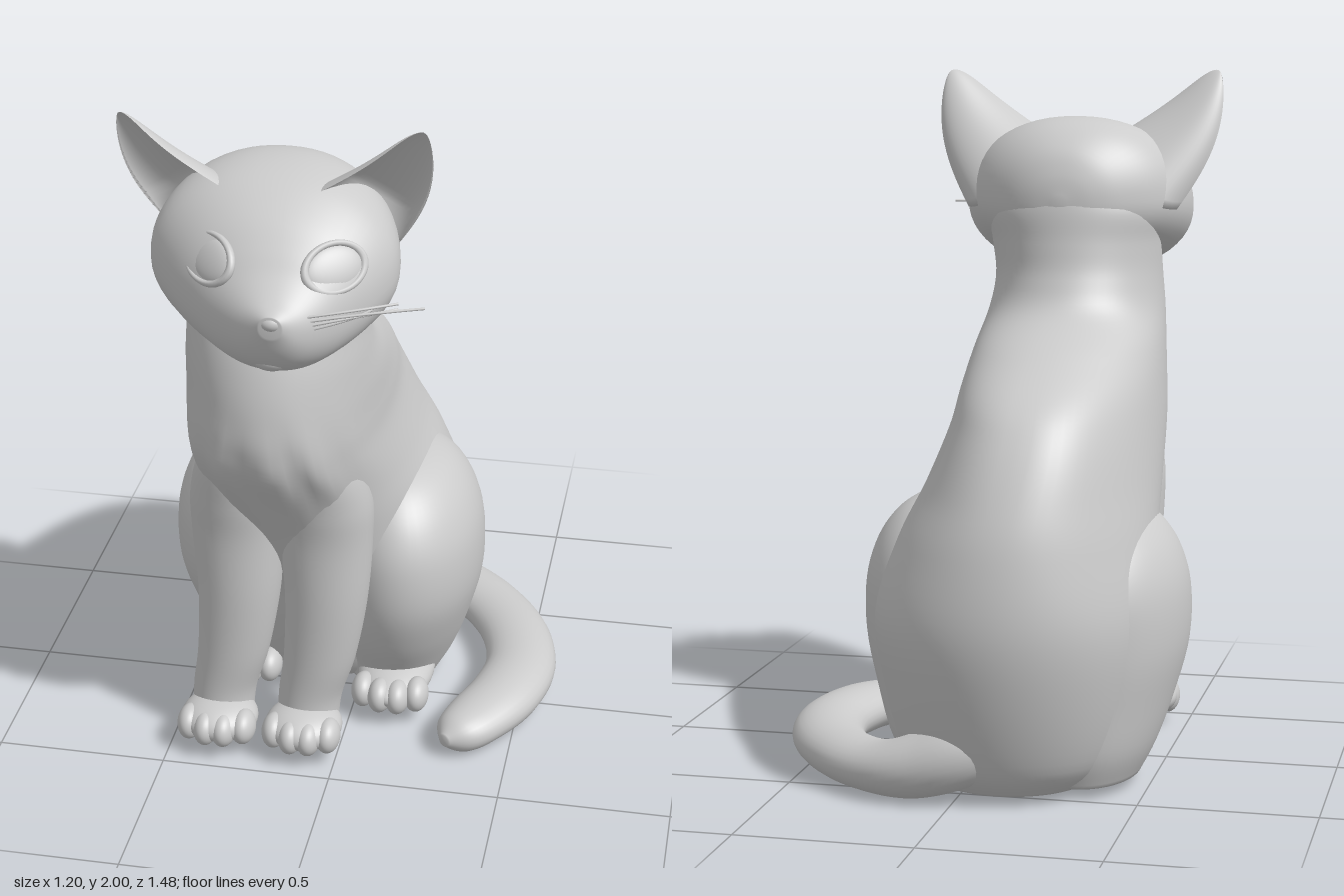
import * as THREE from 'three';

const MAT = new THREE.MeshStandardMaterial({ color: 0xcccccc, roughness: 0.8 });
const V = (x, y, z) => new THREE.Vector3(x, y, z);
const pow = (v, e) => Math.sign(v) * Math.abs(v) ** e;

// Resample rows of section values with a Catmull-Rom spline
function smoothRows(rows, n) {
  const out = [];
  for (let i = 0; i <= n; i++) {
    const f = (i / n) * (rows.length - 1), k = Math.min(Math.floor(f), rows.length - 2), t = f - k;
    const row = (j) => rows[Math.max(0, Math.min(rows.length - 1, j))];
    out.push(rows[0].map((_, c) => {
      const [a, b, d, e] = [row(k - 1)[c], row(k)[c], row(k + 1)[c], row(k + 2)[c]];
      return 0.5 * (2 * b + (d - a) * t + (2 * a - 5 * b + 4 * d - e) * t * t + (3 * b - a - 3 * d + e) * t ** 3);
    }));
  }
  return out;
}

// Skin a list of closed rings, cap both ends and face the surface outwards
function loft(rings) {
  const n = rings[0].length, pts = rings.flat(), idx = [];
  for (let i = 0; i < rings.length - 1; i++) {
    for (let j = 0; j < n; j++) {
      const a = i * n + j, b = i * n + (j + 1) % n;
      idx.push(a, b, a + n, b, b + n, a + n);
    }
  }
  [0, rings.length - 1].forEach((r) => {
    const centre = V(0, 0, 0);
    rings[r].forEach((p) => centre.addScaledVector(p, 1 / n));
    pts.push(centre);
    for (let j = 0; j < n; j++) {
      const a = r * n + j, b = r * n + (j + 1) % n;
      idx.push(...(r ? [a, b, pts.length - 1] : [b, a, pts.length - 1]));
    }
  });
  let volume = 0;
  for (let i = 0; i < idx.length; i += 3) {
    volume += pts[idx[i]].dot(V(0, 0, 0).crossVectors(pts[idx[i + 1]], pts[idx[i + 2]]));
  }
  if (volume < 0) idx.reverse();
  const g = new THREE.BufferGeometry().setFromPoints(pts);
  g.setIndex(idx);
  g.computeVertexNormals();
  return g;
}

const ring = (n, fn) => Array.from({ length: n }, (_, i) => fn((i / n) * Math.PI * 2));

function add(parent, name, geometry) {
  const m = new THREE.Mesh(geometry, MAT);
  m.name = name;
  parent.add(m);
  return m;
}

function blob(parent, name, pos, scale) {
  const m = add(parent, name, new THREE.SphereGeometry(1, 32, 24));
  m.position.set(...pos);
  m.scale.set(...scale);
  return m;
}

// Torso and neck: height, front z, back z, half width, centre x, rear fullness
function torso() {
  const rows = smoothRows([
    [0.02, 0.0, -0.57, 0.23, -0.115, 0.1], [0.1, 0.08, -0.64, 0.31, -0.115, 0.12],
    [0.3, 0.18, -0.71, 0.365, -0.115, 0.12], [0.5, 0.26, -0.745, 0.39, -0.115, 0.12],
    [0.7, 0.36, -0.725, 0.36, -0.135, 0.06], [0.85, 0.45, -0.675, 0.325, -0.16, -0.02],
    [1.0, 0.545, -0.59, 0.296, -0.178, -0.06], [1.1, 0.575, -0.49, 0.285, -0.18, -0.06],
    [1.2, 0.575, -0.3, 0.275, -0.18, -0.03], [1.3, 0.56, -0.1, 0.26, -0.183, 0],
    [1.4, 0.53, -0.03, 0.248, -0.185, 0], [1.5, 0.48, -0.005, 0.25, -0.178, 0],
    [1.6, 0.4, 0.008, 0.25, -0.172, 0], [1.7, 0.36, 0.035, 0.18, -0.17, 0],
  ], 78);
  return loft(rows.map(([y, f, b, w, cx, k]) => ring(72, (a) => {
    const c = Math.cos(a), s = Math.sin(a);
    // Shoulders and upper back are squarer than the hips
    const square = 1 - 0.2 * Math.exp(-(((y - 1) / 0.2) ** 2));
    // Combed fur on the chest
    const tuft = Math.exp(-(((y - 1) / 0.13) ** 2)) * Math.max(0, c) ** 2;
    const fur = 0.011 * tuft * Math.cos(s * 17 + y * 5);
    return V(cx + w * pow(s, square) * (1 - k * c), y, (f + b) / 2 + c * (f - b) / 2 + fur);
  })));
}

// Front leg: height, sideways shift, centre z, half width, half depth
function foreLeg(side) {
  const rows = smoothRows([
    [0.06, -0.055, 0.3, 0.09, 0.09], [0.16, -0.05, 0.285, 0.095, 0.095], [0.3, -0.02, 0.29, 0.107, 0.095],
    [0.5, 0, 0.285, 0.122, 0.108], [0.7, 0, 0.28, 0.136, 0.118], [0.83, 0, 0.285, 0.135, 0.13],
    [0.97, 0, 0.31, 0.1, 0.12], [1.08, 0, 0.33, 0.04, 0.06],
  ], 42);
  return loft(rows.map(([y, dx, z, rx, rz]) => ring(32, (a) =>
    V(-0.175 + side * 0.13 + dx + rx * Math.sin(a), y, z + rz * Math.cos(a)))));
}

// Folded hind leg: height, offset from the middle, centre z, half width, half depth
function haunch(side, shift) {
  const rows = smoothRows([
    [0.03, 0.2, -0.18, 0.15, 0.23], [0.12, 0.215, -0.17, 0.18, 0.27], [0.25, 0.23, -0.135, 0.208, 0.315],
    [0.4, 0.248, -0.11, 0.226, 0.345], [0.55, 0.252, -0.105, 0.222, 0.345], [0.66, 0.248, -0.105, 0.195, 0.31],
    [0.74, 0.238, -0.105, 0.15, 0.245], [0.785, 0.225, -0.105, 0.092, 0.16], [0.803, 0.215, -0.105, 0.02, 0.04],
  ], 40);
  return loft(rows.map(([y, off, z, rx, rz]) => ring(48, (a) =>
    V(-0.115 + side * (off + rx * Math.sin(a)), y, z + shift + rz * Math.cos(a)))));
}

function paw(parent, name, x, z, length) {
  const g = new THREE.Group();
  g.name = name;
  blob(g, 'foot', [x, 0.088, z - length - 0.012], [0.115, 0.062, length]);
  for (let i = 0; i < 4; i++) {
    const u = i - 1.5;
    blob(g, 'toe', [x + u * 0.054, 0.083, z - 0.058 - u * u * 0.012], [0.037, 0.052, 0.058]);
  }
  parent.add(g);
}

// Head: z, centre x, widest height, half width, top, bottom
function skull() {
  const rows = smoothRows([
    [0.01, -0.17, 1.62, 0.015, 1.635, 1.605], [0.022, -0.17, 1.62, 0.09, 1.7, 1.55], [0.055, -0.17, 1.62, 0.165, 1.77, 1.51],
    [0.12, -0.17, 1.62, 0.245, 1.828, 1.48], [0.2, -0.17, 1.62, 0.3, 1.858, 1.45], [0.3, -0.168, 1.61, 0.336, 1.862, 1.415],
    [0.4, -0.162, 1.59, 0.338, 1.84, 1.39], [0.5, -0.145, 1.565, 0.28, 1.785, 1.385], [0.57, -0.13, 1.545, 0.217, 1.722, 1.385],
    [0.62, -0.12, 1.535, 0.165, 1.668, 1.395], [0.67, -0.11, 1.535, 0.11, 1.628, 1.43], [0.705, -0.104, 1.545, 0.066, 1.61, 1.48],
    [0.728, -0.1, 1.57, 0.03, 1.6, 1.54],
  ], 60);
  return loft(rows.map(([z, cx, y, w, t, b]) => ring(56, (a) => {
    const s = Math.sin(a);
    return V(cx + w * pow(Math.cos(a), 0.92), y + pow(s, 0.92) * (s > 0 ? t - y : y - b), z);
  })));
}

// Cupped ear opening forwards and outwards, with a rounded tip
function ear(side) {
  const cx = -0.17, rings = [];
  const base = V(0.214, 1.7, 0.3), tip = V(0.412, 1.995, 0.372), half = V(0.1, -0.105, -0.1);
  for (let i = 0; i <= 28; i++) {
    const t = 0.998 * (1 - (1 - i / 28) ** 1.7), w = (1 - t) ** 0.6;
    const mid = base.clone().lerp(tip, t);
    mid.x += 0.03 * Math.sin(Math.PI * t);
    mid.z += 0.012 * Math.sin(Math.PI * t);
    const hollow = 0.82 * Math.min(1, t * 3);
    rings.push(ring(44, (a) => {
      const s = Math.sin(a);
      const depth = 0.145 * (1 - t) ** 0.75 * Math.abs(s) * (s > 0 ? 1 : hollow);
      const v = mid.clone().addScaledVector(half, -w * Math.cos(a)).addScaledVector(V(-0.55, -0.05, -0.83), depth);
      v.x = cx + side * v.x;
      return v;
    }));
  }
  return loft(rings);
}

// Tail lying on the ground: x, y, z, half width, half height
function tail() {
  const rows = smoothRows([
    [-0.16, 0.2, -0.47, 0.1, 0.1], [-0.03, 0.15, -0.565, 0.1, 0.11], [0.1, 0.1, -0.575, 0.1, 0.095], [0.22, 0.075, -0.535, 0.1, 0.075],
    [0.35, 0.07, -0.43, 0.1, 0.07], [0.45, 0.07, -0.27, 0.105, 0.07], [0.49, 0.07, -0.09, 0.108, 0.07], [0.46, 0.07, 0.08, 0.108, 0.07],
    [0.395, 0.065, 0.21, 0.098, 0.065], [0.345, 0.06, 0.29, 0.072, 0.055], [0.315, 0.06, 0.335, 0.018, 0.018],
  ], 70);
  return loft(rows.map(([x, y, z, w, h], i) => {
    const p = rows[Math.max(0, i - 1)], q = rows[Math.min(rows.length - 1, i + 1)];
    const side = V(q[2] - p[2], 0, p[0] - q[0]).normalize();
    return ring(28, (a) => V(x, y + h * Math.sin(a), z).addScaledVector(side, w * Math.cos(a)));
  }));
}

export function createModel() {
  const cat = new THREE.Group();
  cat.name = 'sittingCat';
  add(cat, 'torso', torso());
  add(cat, 'tail', tail());
  const head = new THREE.Group();
  head.name = 'head';
  cat.add(head);
  add(head, 'skull', skull());

  for (const side of [-1, 1]) {
    const label = side > 0 ? 'left' : 'right';
    add(cat, label + 'FrontLeg', foreLeg(side));
    paw(cat, label + 'FrontPaw', -0.23 + side * 0.128, 0.485, 0.115);
    // The right hind leg sits a little further back
    const shift = side > 0 ? 0 : -0.08;
    add(cat, label + 'Haunch', haunch(side, shift));
    paw(cat, label + 'HindPaw', -0.115 + side * 0.235, 0.225 + shift, 0.2);

    add(head, label + 'Ear', ear(side));
    // Eye with a raised lid rim, turned to follow the face
    const eye = new THREE.Group();
    eye.name = label + 'Eye';
    eye.position.set(-0.132 + side * 0.168, 1.673, 0.55);
    eye.rotation.set(-0.5, side * 0.66, side * 0.14, 'YXZ');
    blob(eye, 'eyeball', [0, 0, -0.004], [0.086, 0.061, 0.02]);
    add(eye, 'eyelid', new THREE.TorusGeometry(0.088, 0.012, 10, 40)).scale.set(1, 0.72, 1);
    head.add(eye);
    blob(head, label + 'MuzzlePad', [-0.108 + side * 0.04, 1.527, 0.647], [0.058, 0.042, 0.052]);
  }
  blob(head, 'nose', [-0.1, 1.578, 0.703], [0.036, 0.026, 0.032]);
  blob(head, 'chin', [-0.118, 1.443, 0.628], [0.06, 0.04, 0.05]);

  // Whiskers on the left cheek
  for (let i = 0; i < 4; i++) {
    const end = V(0.28 - Math.abs(i - 2) * 0.07, 1.575 + i * 0.008, 0.58);
    const curve = new THREE.QuadraticBezierCurve3(V(-0.05, 1.535 + i * 0.014, 0.675), V(0.1, 1.57 + i * 0.009, 0.645), end);
    add(head, 'whisker', new THREE.TubeGeometry(curve, 12, 0.004, 6));
  }
  return cat;
}
